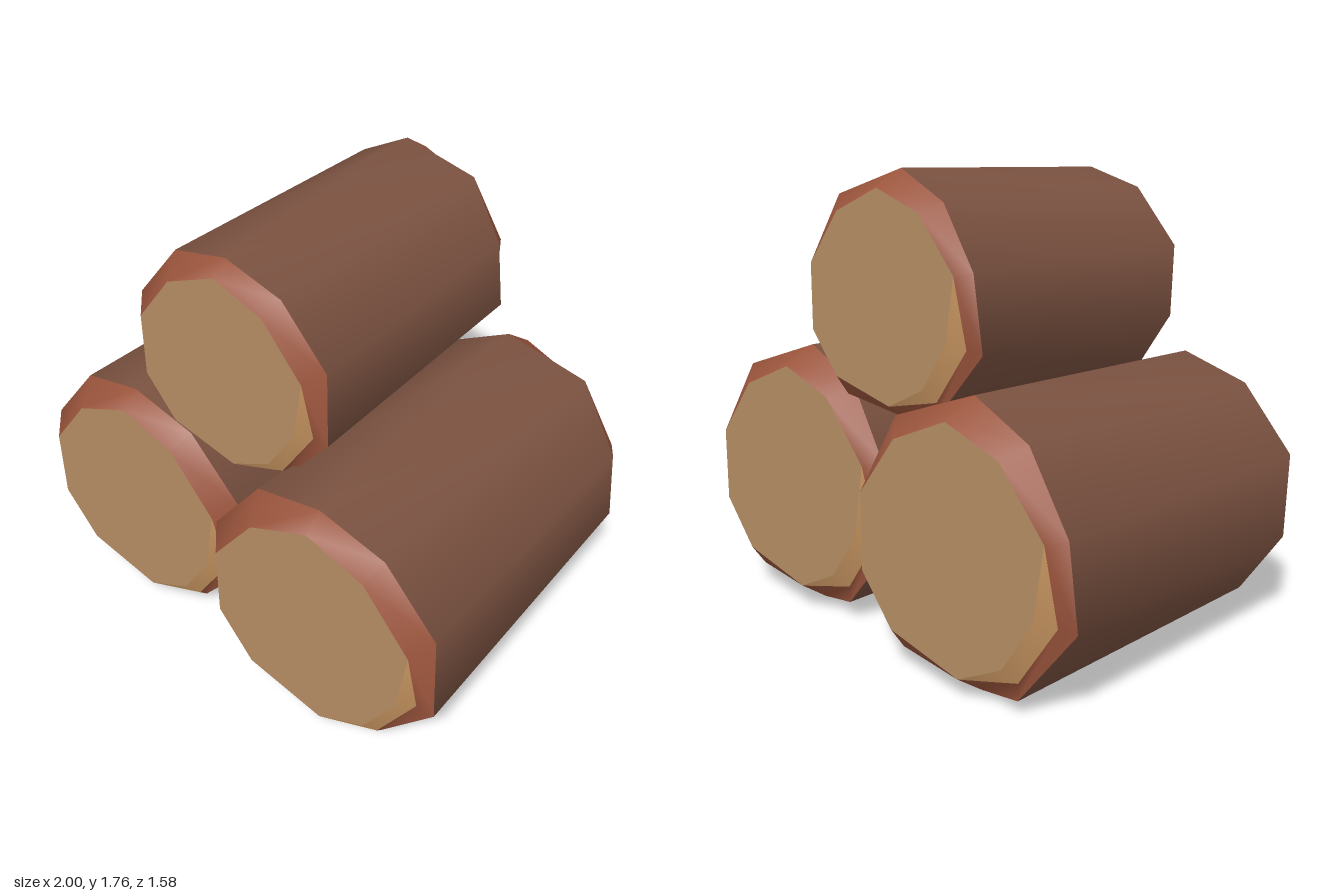
import * as THREE from 'three';

const N = 10;
const bark = new THREE.MeshStandardMaterial({ color: 0x7a5140 });
const rim = new THREE.MeshStandardMaterial({ color: 0x9a543c });
const wood = new THREE.MeshStandardMaterial({ color: 0xb58d64 });
const chip = new THREE.MeshStandardMaterial({ color: 0xd6a068 });
bark.name = 'bark';
rim.name = 'cutBarkEdge';
wood.name = 'wood';
chip.name = 'freshWood';

// Ten-sided cross-sections, clockwise from the top as seen from the front
const FRONT = [[0, .487], [.26, .385], [.465, .115], [.5, -.195], [.27, -.465],
  [.07, -.52], [-.3, -.45], [-.5, -.175], [-.5, .15], [-.3, .405]];
const BACK = [[-.03, .525], [.3, .41], [.49, .165], [.495, -.18], [.29, -.45],
  [-.06, -.515], [-.27, -.465], [-.48, -.185], [-.48, .145], [-.27, .4]];
const END = [[0, .43], [.24, .343], [.43, .115], [.43, -.185], [.28, -.415],
  [.05, -.46], [-.28, -.38], [-.43, -.195], [-.43, .095], [-.25, .325]];
// Uneven depth of the bark edge
const FRONT_Z = [.647, .627, .607, .647, .627, .617, .647, .617, .637, .617];
const BACK_Z = [-.613, -.663, -.603, -.663, -.653, -.613, -.663, -.613, -.663, -.613];
const HALF = .7225;

const ring = (pts, z) => pts.map(([x, y], i) => [x, y, z[i]]);

// Half turn about y, keeping the clockwise order
const turned = (pts) => pts.map((_, i) => {
  const [x, y, z] = pts[(N - i) % N];
  return [-x, y + .02, -z];
});

function makeMesh(name, points, index, material) {
  const geo = new THREE.BufferGeometry();
  geo.setAttribute('position', new THREE.Float32BufferAttribute(points.flat(), 3));
  geo.setIndex(index);
  geo.computeVertexNormals();
  const mesh = new THREE.Mesh(geo, material);
  mesh.name = name;
  return mesh;
}

// Skin between a front ring and a ring behind it
function loft(name, a, b, material, from = 0, count = N) {
  const index = [];
  for (let i = from; i < from + count; i++) {
    const j = (i + 1) % N;
    index.push(i, j, N + j, i, N + j, N + i);
  }
  return makeMesh(name, [...a, ...b], index, material);
}

function cap(name, pts, material, facesFront) {
  const index = [];
  for (let i = 1; i < N - 1; i++) index.push(0, ...(facesFront ? [i + 1, i] : [i, i + 1]));
  return makeMesh(name, pts, index, material);
}

function makeLog(name, x, y, z, scale) {
  const log = new THREE.Group();
  log.name = name;
  const bodyFront = ring(FRONT, FRONT_Z);
  const bodyBack = ring(BACK, BACK_Z);

  // Flat end face with two corners cut away
  const flat = END.map(([px, py]) => [px, py, HALF]);
  const edge = flat.map((p) => [...p]);
  edge[3][2] = HALF - .07;
  edge[4][2] = HALF - .05;
  flat[3] = [.385, -.155, HALF];
  flat[4] = [.25, -.36, HALF];
  const edgeBack = turned(edge);
  const flatBack = turned(flat);

  log.add(
    loft('barkBody', bodyFront, bodyBack, bark),
    loft('frontRim', edge, bodyFront, rim),
    loft('backRim', bodyBack, edgeBack, rim),
    cap('frontEnd', flat, wood, true),
    cap('backEnd', flatBack, wood, false),
    loft('frontChip', flat, edge, chip, 2, 3),
    loft('backChip', edgeBack, flatBack, chip, 5, 3),
  );
  log.position.set(x, y, z);
  log.scale.setScalar(scale);
  return log;
}

export function createModel() {
  const model = new THREE.Group();
  model.name = 'logPile';
  model.add(
    makeLog('leftLog', .5, .545, .063, 1),
    makeLog('rightLog', -.5, .525, -.068, 1),
    makeLog('topLog', -.035, 1.31, -.027, .865),
  );
  return model;
}
